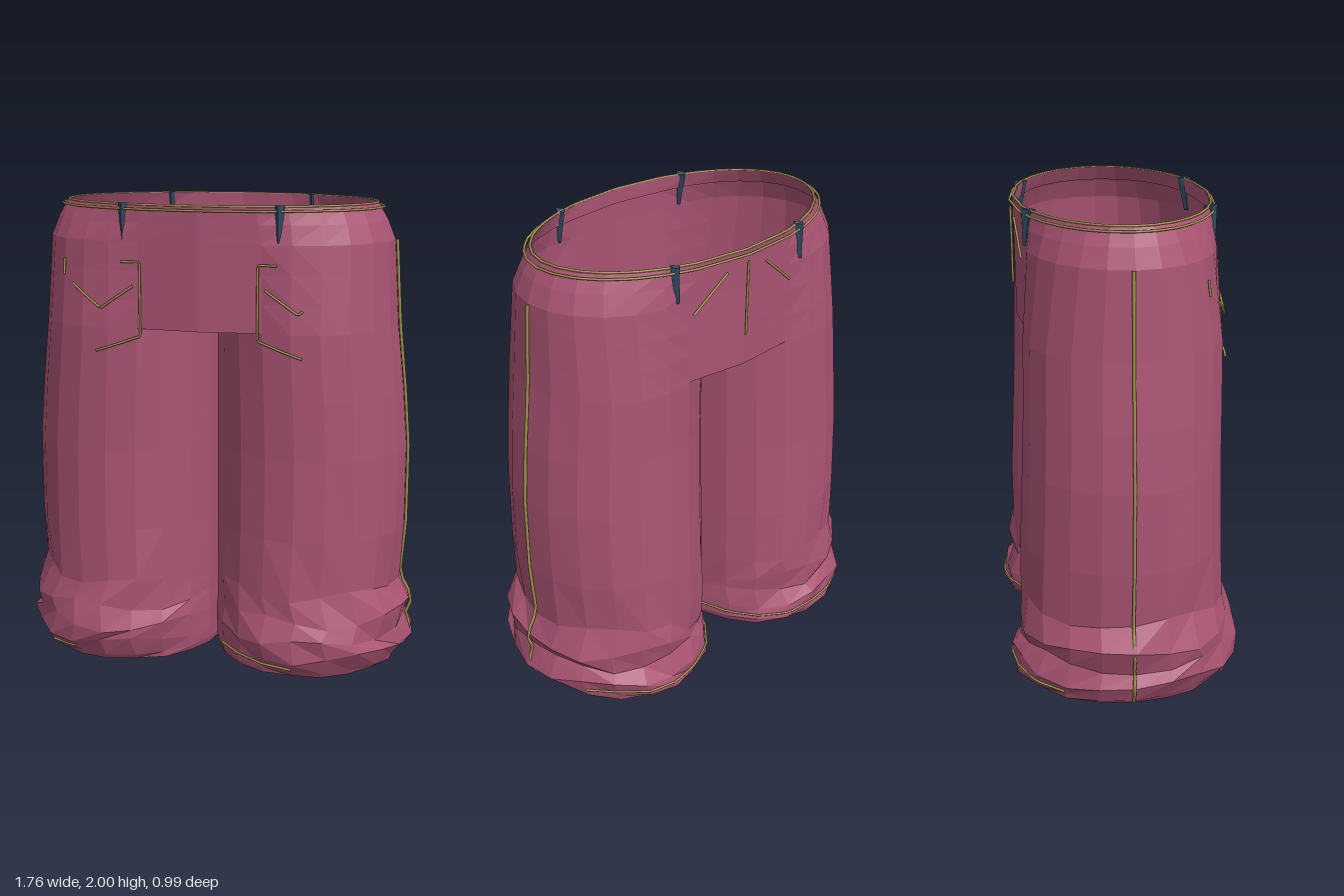
import * as THREE from 'three';

const SIDES = 20, STEP = (Math.PI * 2) / SIDES, OUTER = 6; // the outer arc spans 6 steps each way
const CROTCH = 1.48, HIP = 1.84, TOP = 1.99;

// leg section by height: y, outer x, front depth, back depth
const LEG = [
  [1.48, 0.78, 0.41, 0.415], [1.2, 0.81, 0.41, 0.42], [0.95, 0.83, 0.41, 0.43],
  [0.6, 0.83, 0.42, 0.445], [0.36, 0.81, 0.435, 0.45], [0.25, 0.87, 0.455, 0.46],
  [0.17, 0.84, 0.495, 0.445], [0.1, 0.872, 0.485, 0.488], [0.03, 0.83, 0.445, 0.492],
];

function legSize(y) {
  if (y >= LEG[0][0]) return LEG[0];
  for (let i = 1; i < LEG.length; i++) {
    if (y >= LEG[i][0]) {
      const a = LEG[i - 1], b = LEG[i], t = (y - b[0]) / (a[0] - b[0]);
      return b.map((v, k) => v + (a[k] - v) * t);
    }
  }
  return LEG[LEG.length - 1];
}

// point on one leg at angle a (0 points outwards, positive is the front)
function legPoint(a, y, inset = 0) {
  const [, X, zf, zb] = legSize(y), r = (X + 0.004) / 2;
  const inX = Math.cos(a) < 0 ? inset * 0.3 : inset; // the inner thigh has little turn-in
  return new THREE.Vector3(r - 0.004 + (r - inX) * Math.cos(a), y,
    Math.sin(a) * ((Math.sin(a) > 0 ? zf : zb) - inset));
}

// outer arc of the hips, going from the leg section to the waist oval
function hipPoint(a, y, inset = 0) {
  const k = y < HIP ? 0.5 * Math.max(0, (y - CROTCH) / (HIP - CROTCH))
    : 0.5 + 0.5 * Math.min(1, (y - HIP) / (TOP - HIP));
  const p = a * 1.217 / (OUTER * STEP);
  const rx = 0.735 - Math.max(0, y - HIP) * 0.33;
  const oval = new THREE.Vector3((rx - inset) * Math.cos(p), y,
    Math.sin(p) * ((p > 0 ? 0.41 : 0.43) - inset));
  return legPoint(a, Math.min(y, CROTCH), inset).lerp(oval, k).setY(y);
}

const mirror = (p, s) => new THREE.Vector3(p.x * s, p.y, p.z);
const midPoint = p => new THREE.Vector3(0, p.y, p.z * 1.065);
const hipArc = (y, inset = 0) => Array.from({ length: OUTER * 2 + 1 },
  (_, j) => hipPoint((j - OUTER) * STEP, y, inset));

// closed outline around both hips
function outline(y, inset = 0) {
  const arc = hipArc(y, inset);
  return [...arc, midPoint(arc[OUTER * 2]),
    ...arc.map(p => mirror(p, -1)).reverse(), midPoint(arc[0])];
}

// surface through rows of points
function loft(rows, closed = false) {
  const n = rows[0].length, pos = [], idx = [];
  rows.forEach(r => r.forEach(p => pos.push(p.x, p.y, p.z)));
  for (let i = 0; i < rows.length - 1; i++) {
    for (let j = 0; j < (closed ? n : n - 1); j++) {
      const a = i * n + j, b = i * n + (j + 1) % n;
      idx.push(a, a + n, b, b, a + n, b + n);
    }
  }
  const g = new THREE.BufferGeometry();
  g.setAttribute('position', new THREE.Float32BufferAttribute(pos, 3));
  g.setIndex(idx);
  g.computeVertexNormals();
  return g;
}

export function createModel() {
  const root = new THREE.Group();
  const cloth = new THREE.MeshStandardMaterial({ color: 0xaa5473, flatShading: true, side: THREE.DoubleSide });
  cloth.name = 'roseCloth';
  const thread = new THREE.MeshStandardMaterial({ color: 0x9c8e4a });
  thread.name = 'oliveThread';
  const loopMat = new THREE.MeshStandardMaterial({ color: 0x2b4c63, flatShading: true });
  loopMat.name = 'darkBlueLoop';

  const add = (name, geo, mat) => {
    const m = new THREE.Mesh(geo, mat);
    m.name = name;
    root.add(m);
    return m;
  };
  const stitch = (name, pts, radius = 0.005, closed = false) => {
    const path = new THREE.CurvePath();
    const all = closed ? [...pts, pts[0]] : pts;
    for (let i = 1; i < all.length; i++) path.add(new THREE.LineCurve3(all[i - 1], all[i]));
    add(name, new THREE.TubeGeometry(path, all.length * 3, radius, 12, closed), thread);
  };

  for (const s of [1, -1]) {
    const side = s > 0 ? 'left' : 'right';

    // leg with a crumpled cuff and a turned-in hem
    const ring = (y, inset, row) => Array.from({ length: SIDES }, (_, j) => {
      const p = legPoint(j * STEP, y, inset);
      if (row >= 4) {
        const k = 1 + 0.02 * Math.sin(j * 2.3 + row * 1.9 + s);
        if (Math.cos(j * STEP) > -0.7) p.x = 0.42 + (p.x - 0.42) * k;
        p.z *= k;
        if (row < 8) p.y += 0.022 * Math.sin(j * 1.3 + row * 2.1 + s * 2);
      }
      return mirror(p, s);
    });
    const rows = LEG.map((r, i) => ring(r[0], 0, i));
    rows.push(ring(0.004, 0.02, 9), ring(0.015, 0.045, 9), ring(0.12, 0.04, 9));
    add(side + 'Leg', loft(rows, true), cloth);

    // hip side
    add(side + 'Hip', loft([HIP, 1.72, 1.6, CROTCH].map(y => hipArc(y).map(p => mirror(p, s)))), cloth);

    // outer side seam
    stitch(side + 'SideSeam', [HIP, 1.6, CROTCH, 1.2, 0.95, 0.6, 0.36, 0.25, 0.17, 0.1, 0.03].map(y => {
      const p = hipPoint(0, y);
      return new THREE.Vector3(s * (p.x + 0.007), y, -0.008);
    }), 0.007);

    // hem stitching, following the crumpled cuff
    const hem = (name, from, to) => {
      const pts = [];
      for (let j = from; j <= to; j++) {
        const p = rows[7][j].clone().lerp(rows[8][j], 0.55);
        p.x += s * 0.006 * Math.cos(j * STEP);
        p.z += 0.006 * Math.sin(j * STEP);
        pts.push(p);
      }
      stitch(side + name, pts);
    };
    hem('BackHemStitch', 11, 18);
    if (s > 0) hem('FrontHemStitch', 5, 8);
    else hem('FrontHemStitch', 3, 4);
  }

  // panels joining the hips, front and back
  for (const f of [1, -1]) {
    const rows = [HIP, 1.66, CROTCH].map(y => {
      const p = hipPoint(f * OUTER * STEP, y);
      return [p, midPoint(p), mirror(p, -1)];
    });
    add(f > 0 ? 'frontPanel' : 'backPanel', loft(rows), cloth);
  }

  // crotch gusset between the legs
  const gusset = [];
  for (let j = OUTER; j <= SIDES - OUTER; j++) {
    const p = legPoint(j * STEP, CROTCH);
    p.x = Math.max(0, p.x);
    const atEdge = j === OUTER || j === SIDES - OUTER;
    gusset.push([p, atEdge ? midPoint(p) : new THREE.Vector3(0, CROTCH, p.z), mirror(p, -1)]);
  }
  add('crotchGusset', loft(gusset), cloth);

  // waistband with a turned-in top edge
  add('waistband', loft([
    outline(HIP), outline(1.92), outline(TOP), outline(1.995, 0.012), outline(1.93, 0.012),
  ], true), cloth);
  stitch('upperWaistStitch', outline(1.994, 0.004), 0.005, true);
  stitch('lowerWaistStitch', outline(1.976, -0.012), 0.005, true);

  // belt loops straddling the waistband, tapering downwards
  for (const x of [-0.33, 0.33]) {
    for (const f of [1, -1]) {
      const m = add('beltLoop', new THREE.CylinderGeometry(0.029, 0.011, 0.15, 4), loopMat);
      m.position.set(x, 1.924, f > 0 ? 0.366 : -0.384);
      m.rotation.x = f * -0.1;
      m.scale.x = 0.75;
    }
  }

  // stitching laid on the front (f = 1) or back (f = -1) surface
  const onSurface = (x, y, f) => {
    let best = null;
    for (let a = 0.3; a <= OUTER * STEP; a += 0.02) {
      const p = hipPoint(a * f, y);
      if (!best || Math.abs(p.x - Math.abs(x)) < Math.abs(best.x - Math.abs(x))) best = p;
    }
    const mid = Math.max(0, 1 - Math.abs(x) / 0.26) * 0.026;
    return new THREE.Vector3(x, y, best.z + f * (0.01 + mid));
  };
  const drape = (name, f, pts) => {
    const out = [];
    for (let i = 1; i < pts.length; i++) {
      for (let k = i === 1 ? 0 : 1; k <= 4; k++) {
        const t = k / 4;
        out.push(onSurface(pts[i - 1][0] * (1 - t) + pts[i][0] * t,
          pts[i - 1][1] * (1 - t) + pts[i][1] * t, f));
      }
    }
    stitch(name, out);
  };
  for (const s of [1, -1]) {
    drape('pocketStitch', 1, [[s * 0.33, 1.76], [s * 0.25, 1.76], [s * 0.25, 1.45], [s * 0.44, 1.385]]);
    drape('pocketFoldStitch', 1, [[s * 0.28, 1.66], [s * 0.42, 1.565], [s * (s > 0 ? 0.44 : 0.56), s > 0 ? 1.58 : 1.66]]);
    drape('yokeStitch', -1, [[s * 0.1, 1.92], [s * 0.26, 1.78]]);
  }
  drape('pocketCornerStitch', 1, [[-0.61, 1.76], [-0.61, 1.69]]);
  drape('backSeam', -1, [[0, 1.95], [0, 1.62]]);

  return root;
}
